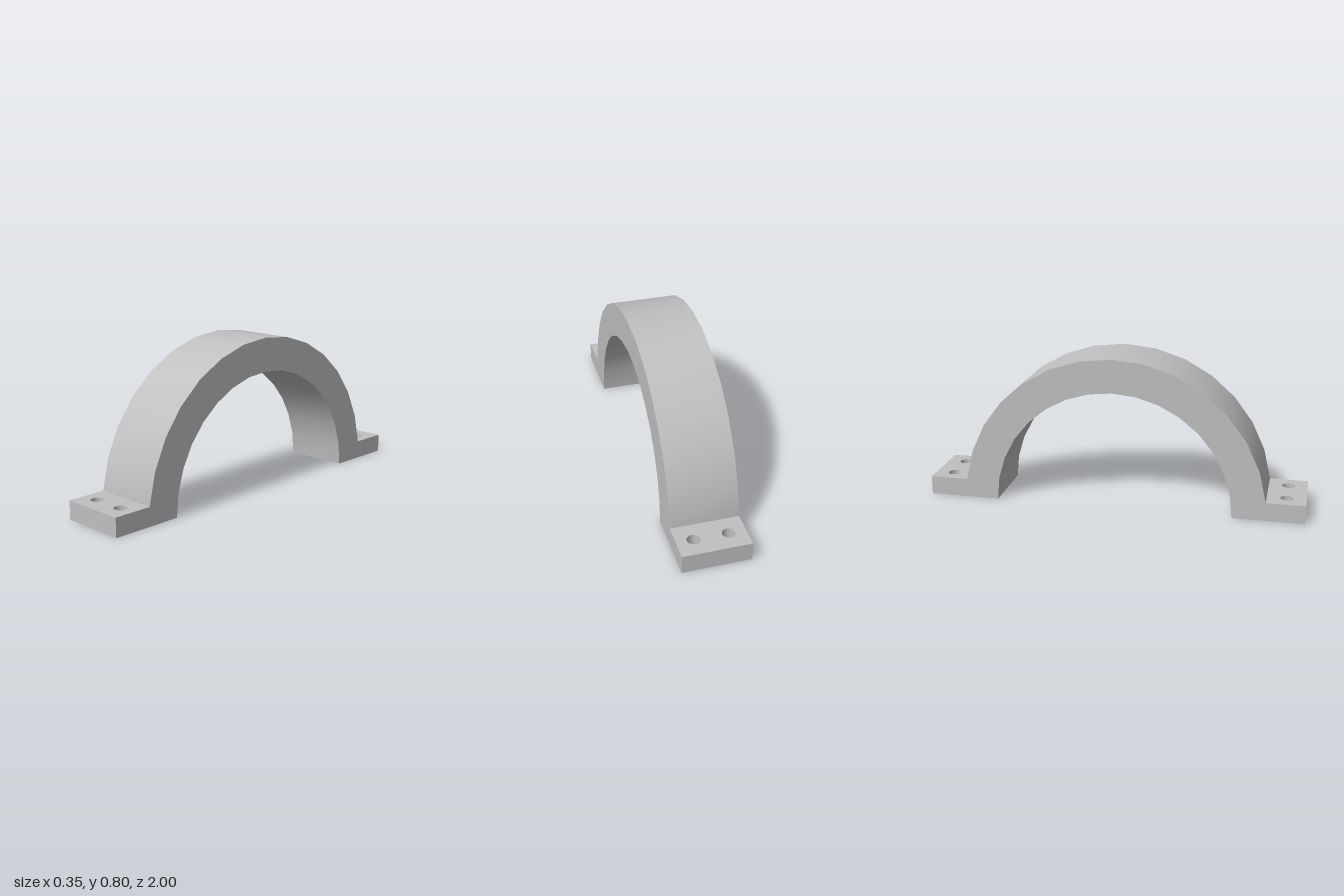
import * as THREE from 'three';
import { toCreasedNormals } from 'three/addons/utils/BufferGeometryUtils.js';

const HALF_WIDTH = 0.174;
const OUTER = 0.803, INNER = 0.627;
const FOOT_HEIGHT = 0.098;
const FOOT_START = Math.sqrt(OUTER ** 2 - FOOT_HEIGHT ** 2);

// Points along a circular arc about the origin
function arcPoints(radius, from, to, steps) {
  return Array.from({ length: steps + 1 }, (_, i) => {
    const a = from + (to - from) * i / steps;
    return new THREE.Vector2(radius * Math.cos(a), radius * Math.sin(a));
  });
}

// Half-ring strap, its outer sides cut upright where the feet join
function archGeometry() {
  const joint = Math.asin(FOOT_HEIGHT / OUTER);
  const shape = new THREE.Shape([
    new THREE.Vector2(FOOT_START, 0),
    ...arcPoints(OUTER, joint, Math.PI - joint, 14),
    new THREE.Vector2(-FOOT_START, 0),
    ...arcPoints(INNER, Math.PI, 0, 16),
  ]);
  const geometry = new THREE.ExtrudeGeometry(shape, { depth: 2 * HALF_WIDTH, bevelEnabled: false });
  geometry.translate(0, 0, -HALF_WIDTH).rotateY(Math.PI / 2);
  return toCreasedNormals(geometry, 0.5);
}

// Flat mounting foot with two bolt holes, on the +z side
function footGeometry() {
  const shape = new THREE.Shape([
    new THREE.Vector2(-HALF_WIDTH, -1),
    new THREE.Vector2(HALF_WIDTH, -1),
    new THREE.Vector2(HALF_WIDTH, -FOOT_START),
    new THREE.Vector2(-HALF_WIDTH, -FOOT_START),
  ]);
  for (const x of [-0.087, 0.087]) {
    shape.holes.push(new THREE.Path().absarc(x, -0.9, 0.033, 0, Math.PI * 2, true));
  }
  const geometry = new THREE.ExtrudeGeometry(shape, { depth: FOOT_HEIGHT, bevelEnabled: false, curveSegments: 24 });
  geometry.rotateX(-Math.PI / 2);
  return toCreasedNormals(geometry, 0.5);
}

export function createModel() {
  const group = new THREE.Group();
  group.name = 'pipeClamp';
  const metal = new THREE.MeshStandardMaterial({ color: 0xc0c0c0 });
  metal.name = 'grey metal';

  const arch = new THREE.Mesh(archGeometry(), metal);
  arch.name = 'arch';
  group.add(arch);

  const foot = footGeometry();
  for (const [name, turn] of [['frontFoot', 0], ['backFoot', Math.PI]]) {
    const mesh = new THREE.Mesh(foot, metal);
    mesh.name = name;
    mesh.rotation.y = turn;
    group.add(mesh);
  }
  return group;
}
